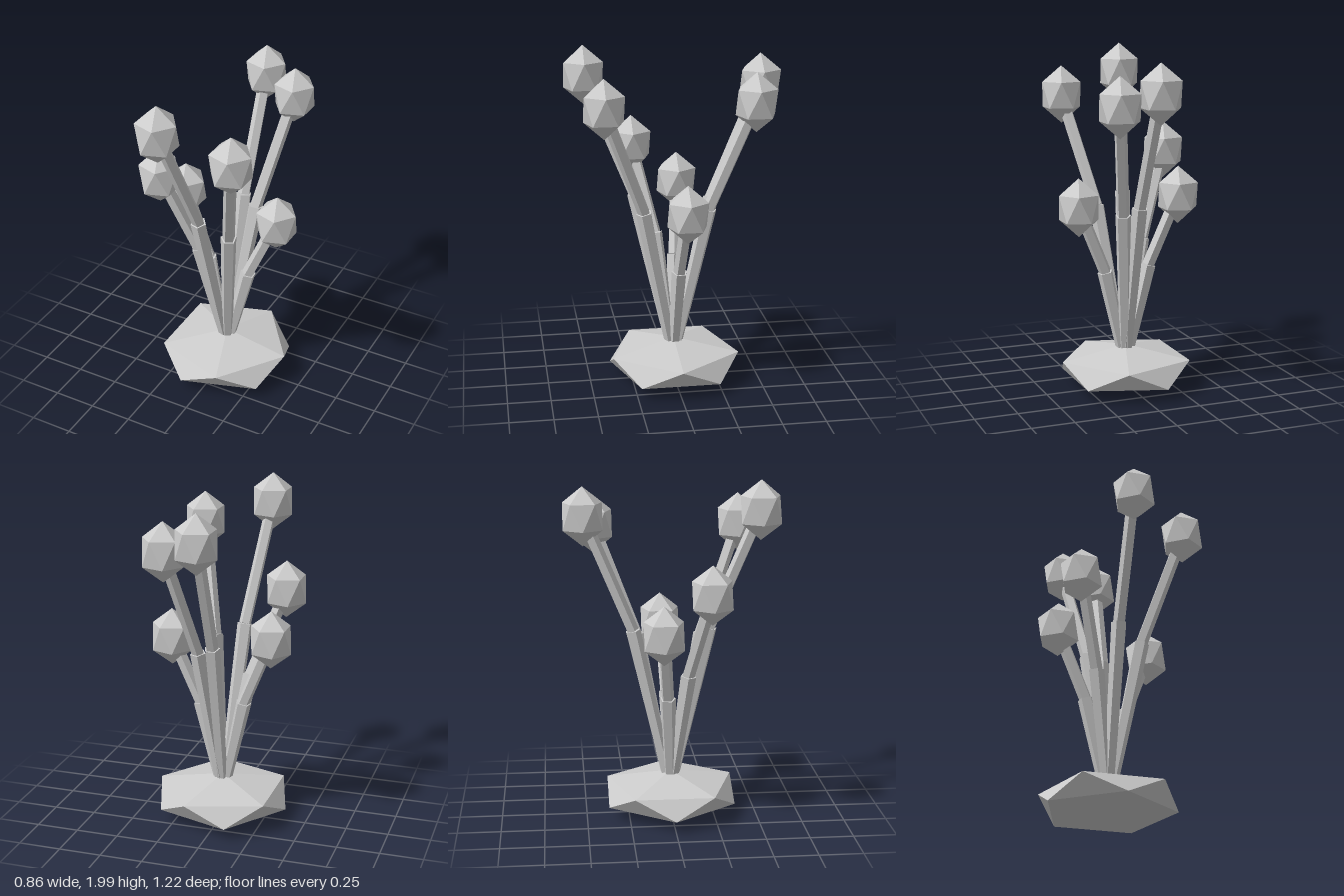
import * as THREE from 'three';

const grey = new THREE.MeshStandardMaterial({ color: 0xcccccc, flatShading: true });
grey.name = 'plain grey';

const ROOT = new THREE.Vector3(0.01, 0.135, 0);

// Icosahedron standing on a corner, stretched to a given width and height
function gem(name, center, width, height) {
  const geo = new THREE.IcosahedronGeometry(1, 0);
  geo.rotateZ(-Math.atan(2 / (1 + Math.sqrt(5))));
  geo.scale(width, height, width);
  const mesh = new THREE.Mesh(geo, grey);
  mesh.name = name;
  mesh.position.copy(center);
  return mesh;
}

// Five-sided rod from a to b, with one edge facing the middle of the plant
function rod(name, a, b, r0, r1) {
  const d = b.clone().sub(a);
  const geo = new THREE.CylinderGeometry(r1, r0, d.length(), 5, 1, false, Math.PI);
  const mesh = new THREE.Mesh(geo, grey);
  mesh.name = name;
  mesh.position.copy(a).lerp(b, 0.5);
  mesh.rotation.order = 'YXZ';
  mesh.rotation.y = Math.atan2(d.x, d.z);
  mesh.rotation.x = Math.atan2(Math.hypot(d.x, d.z), d.y);
  return mesh;
}

// Stalk in two stages, bending outward at the joint, with a bud on its tip
function stalk(tip) {
  const group = new THREE.Group();
  group.name = 'stalk';
  const joint = new THREE.Vector3(
    THREE.MathUtils.lerp(ROOT.x, tip.x, 0.44),
    THREE.MathUtils.lerp(ROOT.y, tip.y, 0.595),
    THREE.MathUtils.lerp(ROOT.z, tip.z, 0.44)
  );
  group.add(
    rod('lowerStem', ROOT, joint, 0.031, 0.047),
    rod('upperStem', joint, tip, 0.037, 0.037),
    gem('bud', tip, 0.132, 0.17)
  );
  return group;
}

export function createModel() {
  const model = new THREE.Group();
  model.name = 'buddingPlant';

  // Flattened base
  model.add(gem('base', ROOT, 0.436, 0.127));

  // Bud centres
  const tips = [
    [0, 1.785, -0.5],
    [0.21, 1.715, -0.438],
    [0.253, 1.71, 0.418],
    [-0.143, 1.83, 0.496],
    [-0.311, 1.38, 0.206],
    [-0.295, 1.15, -0.062],
    [0.308, 1.108, -0.038],
  ];
  for (const t of tips) model.add(stalk(new THREE.Vector3(...t)));

  return model;
}
